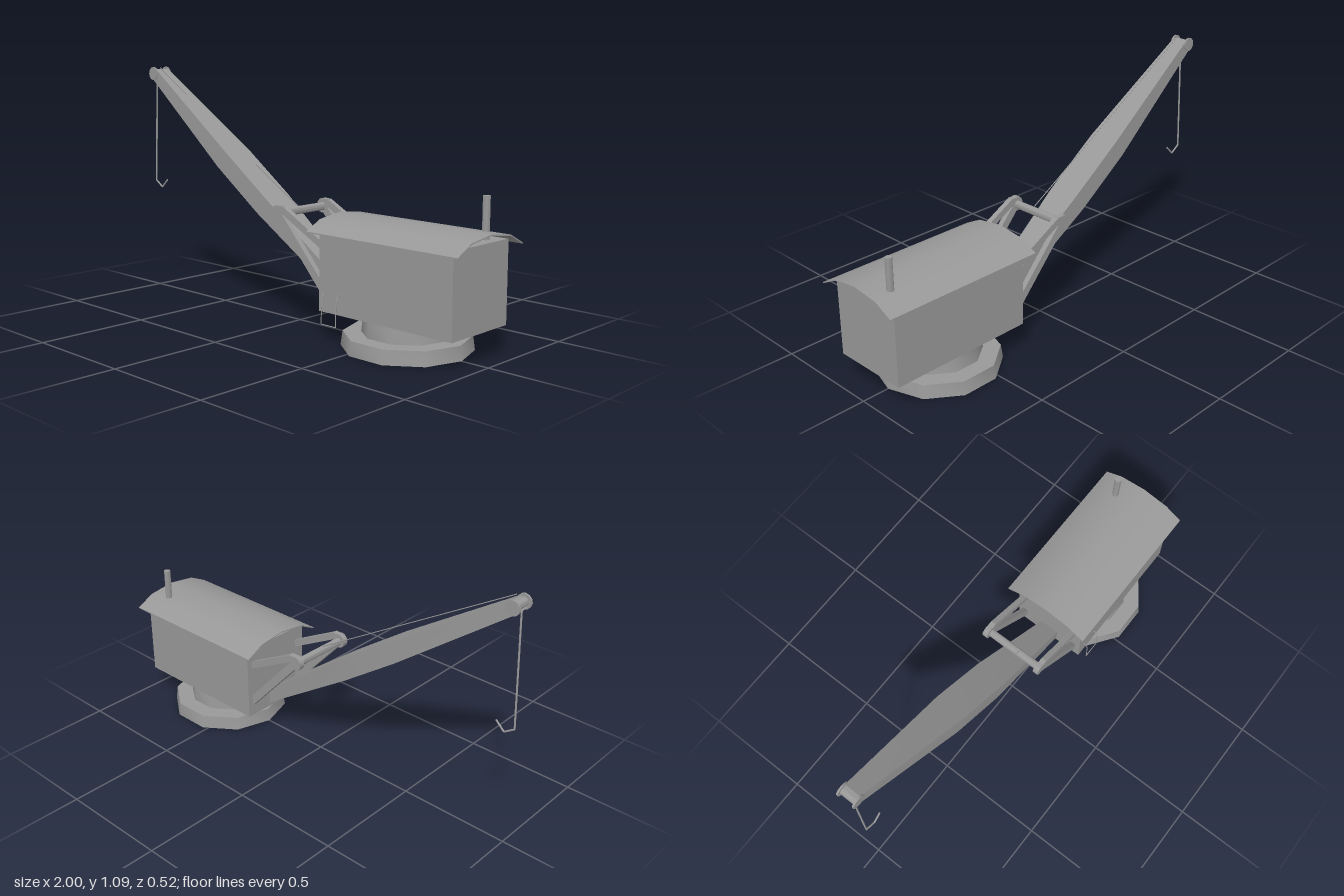
import * as THREE from 'three';
import { toCreasedNormals } from 'three/addons/utils/BufferGeometryUtils.js';

const grey = new THREE.MeshStandardMaterial({ color: 0x999999, side: THREE.DoubleSide });
const V = (x, y, z) => new THREE.Vector3(x, y, z);

export function createModel() {
  const model = new THREE.Group();
  // Round surfaces are smooth, hard corners stay sharp
  const add = (name, geometry, parent = model) => {
    const mesh = new THREE.Mesh(toCreasedNormals(geometry, 0.8), grey);
    mesh.name = name;
    parent.add(mesh);
    return mesh;
  };

  // Round bar between two points
  const rod = (name, a, b, r, sides = 12, parent = model) => {
    const mesh = add(name, new THREE.CylinderGeometry(r, r, a.distanceTo(b), sides), parent);
    mesh.position.copy(a).lerp(b, 0.5);
    mesh.quaternion.setFromUnitVectors(V(0, 1, 0), b.clone().sub(a).normalize());
    return mesh;
  };
  // Bent wire or rope through several points
  const wire = (name, points, r) => {
    const group = new THREE.Group();
    group.name = name;
    for (let i = 1; i < points.length; i++) rod(name + 'Segment', points[i - 1], points[i], r, 8, group);
    model.add(group);
  };

  // Ten-sided stepped turntable, open underneath
  const profile = [[0.271, 0], [0.263, 0.06], [0.187, 0.06], [0.18, 0.126]];
  const base = add('turntable', new THREE.LatheGeometry(
    profile.map(([r, y]) => new THREE.Vector2(r, y)), 10, Math.PI / 2));
  base.position.x = 0.606;

  // Box cab, its gables open under the roof
  const cab = add('cab', new THREE.BoxGeometry(0.674, 0.345, 0.354));
  cab.position.set(0.62, 0.2975, 0);

  // Thin overhanging roof in four gently bent strips
  const eaves = [[0.21, 0.451], [0.127, 0.493], [0, 0.51], [-0.127, 0.493], [-0.21, 0.451]];
  const upper = eaves.map(([z, y]) => [z, y + 0.005]).reverse();
  const roofShape = new THREE.Shape([...eaves, ...upper].map(([z, y]) => new THREE.Vector2(z, y)));
  add('roof', new THREE.ExtrudeGeometry(roofShape, { depth: 0.76, bevelEnabled: false })
    .rotateY(Math.PI / 2).translate(0.24, 0, 0));

  // Chimney
  rod('chimney', V(0.906, 0.46, -0.097), V(0.906, 0.642, -0.097), 0.015);

  // Wire step on the front side of the cab
  wire('step', [V(0.318, 0.208, 0.177), V(0.318, 0.208, 0.186), V(0.318, 0.187, 0.2), V(0.318, 0.08, 0.202),
    V(0.398, 0.08, 0.202), V(0.398, 0.187, 0.2), V(0.398, 0.208, 0.186), V(0.398, 0.208, 0.177)], 0.002);

  // A-frame: two struts and a rounded head per side, joined by a cross bar
  const strut = (name, a, b, height) => {
    const mesh = add(name, new THREE.BoxGeometry(a.distanceTo(b), height, 0.025));
    mesh.position.copy(a).lerp(b, 0.5);
    mesh.rotation.z = Math.atan2(b.y - a.y, b.x - a.x);
  };
  for (const z of [-0.14, 0.14]) {
    strut('upperStrut', V(0.035, 0.518, z), V(0.3, 0.378, z), 0.03);
    strut('lowerStrut', V(0.012, 0.5, z), V(0.3, 0.185, z), 0.036);
    rod('frameHead', V(0.012, 0.5, z - 0.0125), V(0.012, 0.5, z + 0.0125), 0.033);
    strut('headPlate', V(0.0, 0.513, z), V(0.045, 0.513, z), 0.036);
  }
  rod('crossBar', V(0.012, 0.497, -0.14), V(0.012, 0.497, 0.14), 0.018);

  // Boom: box with stations [distance from tip, half depth, half width]
  const tip = V(-0.968, 1.062, 0), foot = V(0.3, 0.168, 0);
  const length = tip.distanceTo(foot);
  const stations = [[0, 0.027, 0.037], [0.65, 0.045, 0.073], [0.97, 0.045, 0.073], [length, 0.03, 0.045]];
  const boomGeo = new THREE.BoxGeometry(3, 2, 2, 3, 1, 1);
  const p = boomGeo.attributes.position;
  for (let i = 0; i < p.count; i++) {
    const [d, h, w] = stations[Math.round(p.getX(i) + 1.5)];
    p.setXYZ(i, d, p.getY(i) * h, p.getZ(i) * w);
  }
  const boom = add('boom', boomGeo);
  boom.position.copy(tip);
  boom.rotation.z = Math.atan2(foot.y - tip.y, foot.x - tip.x);

  // Boom tip: cheek discs and pulley
  for (const z of [-0.038, 0.038])
    rod('tipCheek', V(tip.x, tip.y, z - 0.004), V(tip.x, tip.y, z + 0.004), 0.032);
  rod('tipPulley', V(tip.x, tip.y, -0.035), V(tip.x, tip.y, 0.035), 0.02);

  // Ropes and hook
  wire('boomCable', [V(-0.945, 1.09, 0.016), V(0.012, 0.514, 0.026)], 0.002);
  wire('hoistRope', [V(-0.975, 1.04, 0.012), V(-0.996, 0.533, 0.012)], 0.004);
  wire('hook', [V(-0.996, 0.533, 0.012), V(-0.95, 0.502, 0.012), V(-0.91, 0.541, 0.012)], 0.004);

  return model;
}
